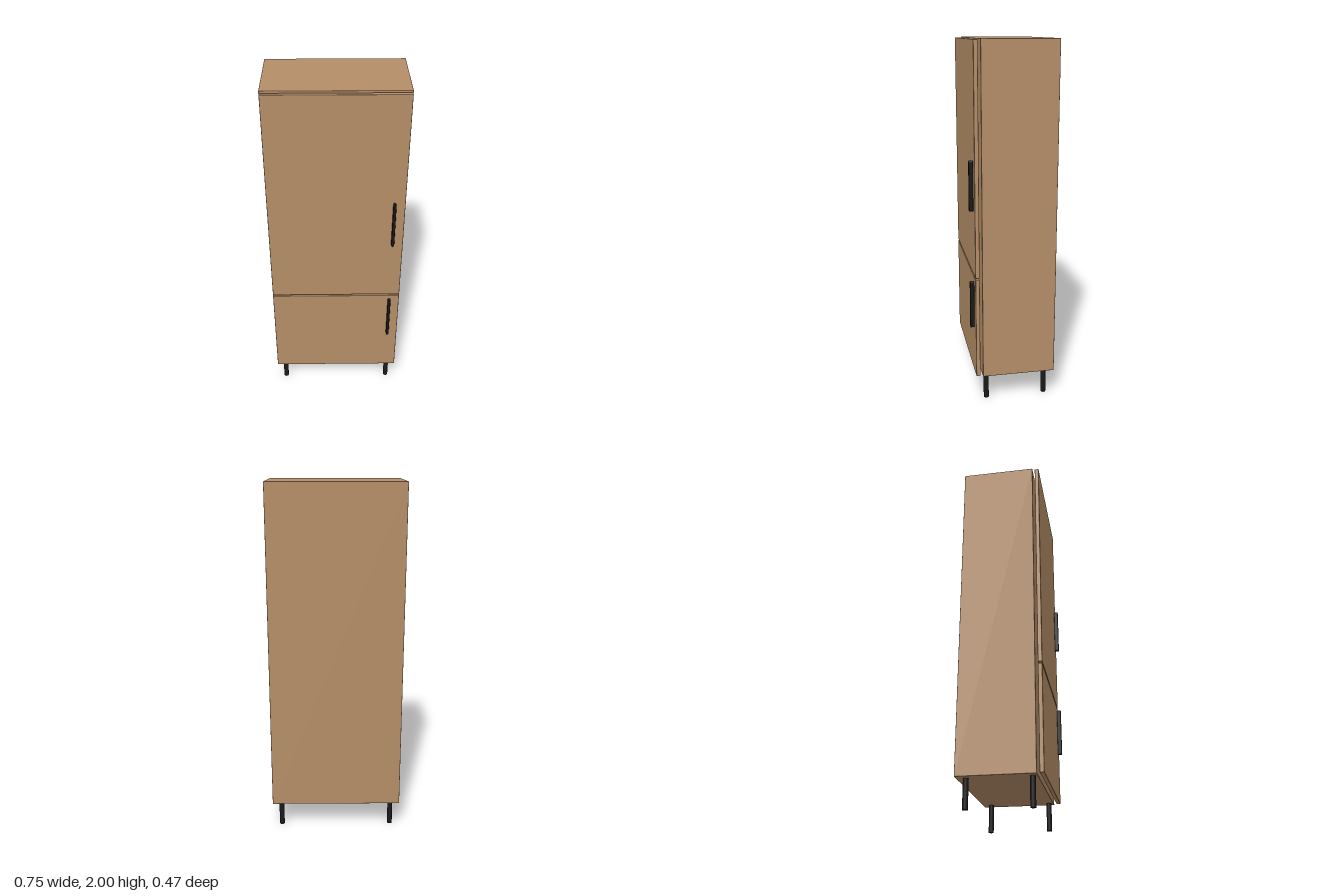
import * as THREE from 'three';
import { RoundedBoxGeometry } from 'three/addons/geometries/RoundedBoxGeometry.js';

export function createModel() {
  const group = new THREE.Group();
  group.name = 'cabinet';
  const wood = new THREE.MeshStandardMaterial({ name: 'wood', color: 0xb58e68 });
  const black = new THREE.MeshStandardMaterial({ name: 'black metal', color: 0x1a1a1a });

  const add = (name, geometry, material, x, y, z) => {
    const mesh = new THREE.Mesh(geometry, material);
    mesh.name = name;
    mesh.position.set(x, y, z);
    group.add(mesh);
  };

  // Rounded-edge panel between two heights and two depths
  const panel = (name, width, y0, y1, z0, z1, radius) =>
    add(name, new RoundedBoxGeometry(width, y1 - y0, z1 - z0, 3, radius), wood,
      0, (y0 + y1) / 2, (z0 + z1) / 2);

  // Carcass and the two doors standing just in front of it
  panel('body', 0.746, 0.155, 2, -0.236, 0.174, 0.002);
  panel('upperDoor', 0.738, 0.742, 1.996, 0.188, 0.211, 0.003);
  panel('lowerDoor', 0.738, 0.159, 0.733, 0.188, 0.211, 0.003);

  // Bar handles: a slot outline extruded forward with a small bevel
  const bevel = 0.003, r = 0.005, half = 0.1375 - bevel - r;
  const outline = new THREE.Shape();
  outline.absarc(0, half, r, 0, Math.PI);
  outline.absarc(0, -half, r, Math.PI, Math.PI * 2);
  outline.closePath();
  const handle = new THREE.ExtrudeGeometry(outline, {
    depth: 0.024 - 2 * bevel, bevelThickness: bevel, bevelSize: bevel, bevelSegments: 3, curveSegments: 12,
  });
  add('upperHandle', handle, black, 0.311, 1.243, 0.2105 + bevel);
  add('lowerHandle', handle, black, 0.311, 0.572, 0.2105 + bevel);

  // Four round legs
  const leg = new THREE.CylinderGeometry(0.0145, 0.0145, 0.156, 24);
  for (const x of [-0.323, 0.323]) {
    for (const z of [-0.187, 0.149]) add('leg', leg, black, x, 0.078, z);
  }
  return group;
}
